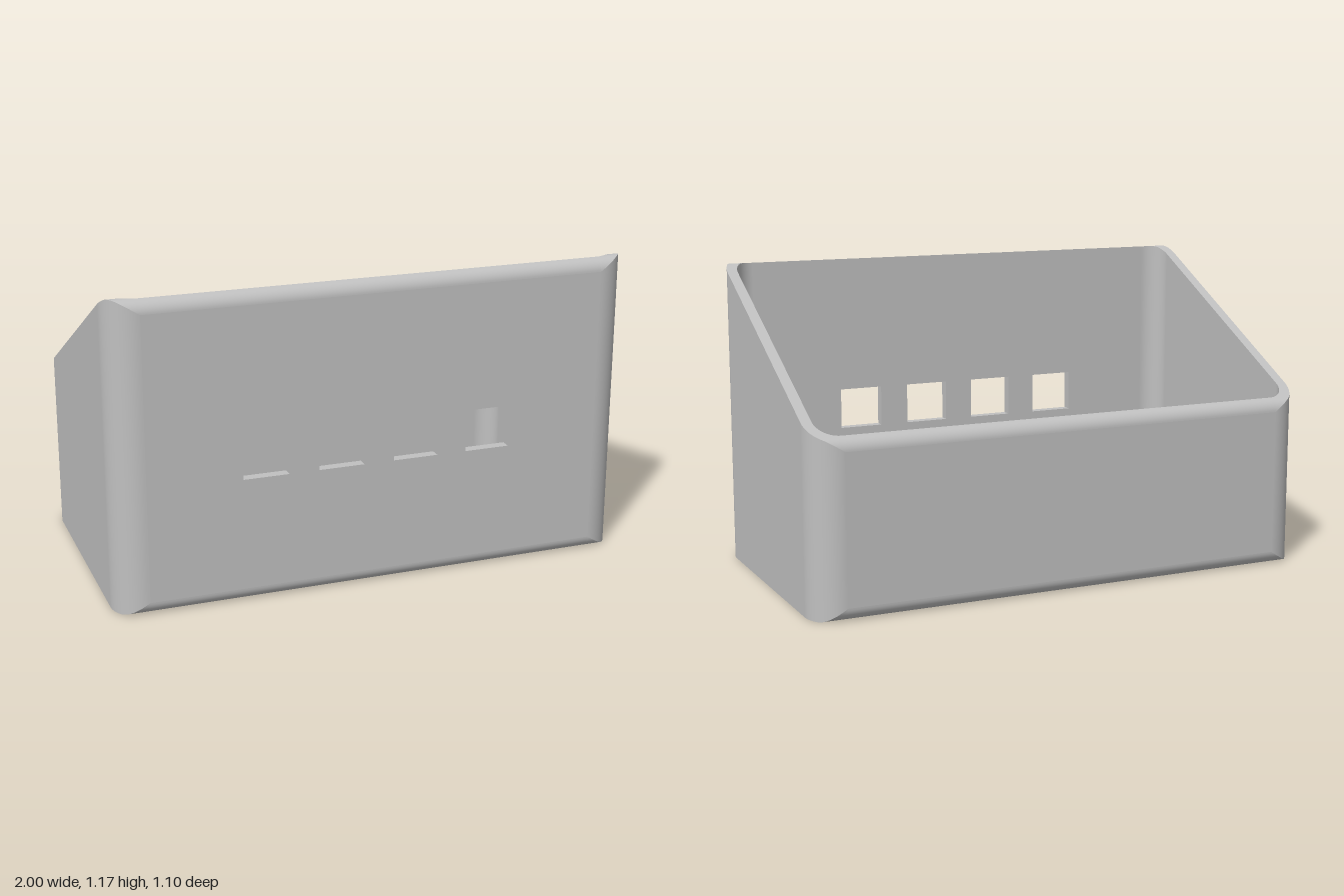
import * as THREE from 'three';

const HX = 1, HZ = 0.55, CORNER = 0.12;   // plan half sizes and corner radius
const WALL = 0.04, FILLET = 0.05;         // wall thickness and edge rounding
const SLOPE = 0.51, MID = 0.92;           // sloping top line: y = MID + SLOPE * z
const LEN = Math.hypot(1, SLOPE);
const CZ = HZ - FILLET;

// Height of the rounded edge at distance d from the fillet centre
const arc = (d) => Math.sqrt(Math.max(0, FILLET * FILLET - d * d));

// Side profile: top and bottom height at a given z
function topY(z) {
  const shift = FILLET * SLOPE / LEN;
  if (z > CZ - shift) return MID + SLOPE * CZ - FILLET * LEN + arc(z - CZ);
  if (z < -CZ - shift) return MID - SLOPE * CZ - FILLET * LEN + arc(z + CZ);
  return MID + SLOPE * z;
}
function bottomY(z) {
  const d = Math.abs(z) - CZ;
  return d > 0 ? FILLET - arc(d) : 0;
}

// Rounded rectangle inset by t, running from the front left corner around the back
function ring(t, height, closed = true) {
  const steps = 20, r = CORNER - t, pts = [];
  [[1, 1], [1, -1], [-1, -1], [-1, 1]].forEach(([sx, sz], k) => {
    for (let i = 0; i <= steps; i++) {
      const a = (k + i / steps) * Math.PI / 2;
      const x = sx * (HX - CORNER) + r * Math.sin(a);
      const z = sz * (HZ - CORNER) + r * Math.cos(a);
      pts.push(new THREE.Vector3(x, height(z), z));
    }
  });
  if (closed) pts.push(pts[0].clone());
  return pts;
}

// Skin between successive rows of points
function loft(rows) {
  const n = rows[0].length, index = [];
  for (let i = 0; i < rows.length - 1; i++) {
    for (let j = 0; j < n - 1; j++) {
      const a = i * n + j, b = a + 1, c = a + n, d = c + 1;
      index.push(a, b, d, a, d, c);
    }
  }
  const g = new THREE.BufferGeometry().setFromPoints(rows.flat());
  g.setIndex(index);
  g.computeVertexNormals();
  return g;
}

export function createModel() {
  const group = new THREE.Group();
  const grey = new THREE.MeshStandardMaterial({ color: 0xc0c0c0 });
  grey.name = 'plain grey';
  const add = (name, geometry) => {
    const mesh = new THREE.Mesh(geometry, grey);
    mesh.name = name;
    group.add(mesh);
    return mesh;
  };

  // Insets spaced evenly around the rounded edge, from the outside inwards
  const insets = (end) => {
    const n = 12, last = Math.acos(1 - end / FILLET);
    return Array.from({ length: n + 1 }, (_, i) => FILLET * (1 - Math.cos(last * i / n)));
  };

  // Side and back walls, open at the front panel
  add('outerWall', loft([ring(0, bottomY, false), ring(0, topY, false)]));
  add('innerWall', loft([ring(WALL, topY, false), ring(WALL, () => WALL, false)]));

  // Sloping rim
  add('rim', loft(insets(WALL).map((t) => ring(t, topY))));

  // Underside with rounded front and back edges, and the floor inside
  const under = insets(FILLET).map((t) => ring(t, bottomY)).reverse();
  const centre = (y) => under[0].map(() => new THREE.Vector3(0, y, 0));
  add('underside', loft([centre(0), ...under]));
  add('floor', loft([ring(WALL, () => WALL), centre(WALL)]));

  // Four windows through the front wall
  const windows = [-0.4375, -0.1475, 0.1425, 0.4325].map((x) => {
    const w = 0.0875, y0 = 0.475, y1 = 0.635;
    return [[x - w, y0], [x + w, y0], [x + w, y1], [x - w, y1]];
  });

  // Front panel faces, outside and inside
  function panel(name, z, y0, y1, inside) {
    const x = HX - CORNER;
    const s = new THREE.Shape([[-x, y0], [x, y0], [x, y1], [-x, y1]].map((p) => new THREE.Vector2(...p)));
    s.holes = windows.map((w) => new THREE.Path(w.map((p) => new THREE.Vector2(...p))));
    const g = new THREE.ShapeGeometry(s);
    if (inside) {
      g.setIndex(Array.from(g.index.array).reverse());
      g.computeVertexNormals();
    }
    g.translate(0, 0, z);
    add(name, g);
  }
  panel('frontOuterFace', HZ, bottomY(HZ), topY(HZ), false);
  panel('frontInnerFace', HZ - WALL, WALL, topY(HZ - WALL), true);

  // Window edges through the wall thickness
  for (const w of windows) {
    const row = (z) => [...w, w[0]].map(([x, y]) => new THREE.Vector3(x, y, z));
    const g = loft([row(HZ), row(HZ - WALL)]).toNonIndexed();
    g.computeVertexNormals();
    add('windowEdge', g);
  }
  return group;
}
